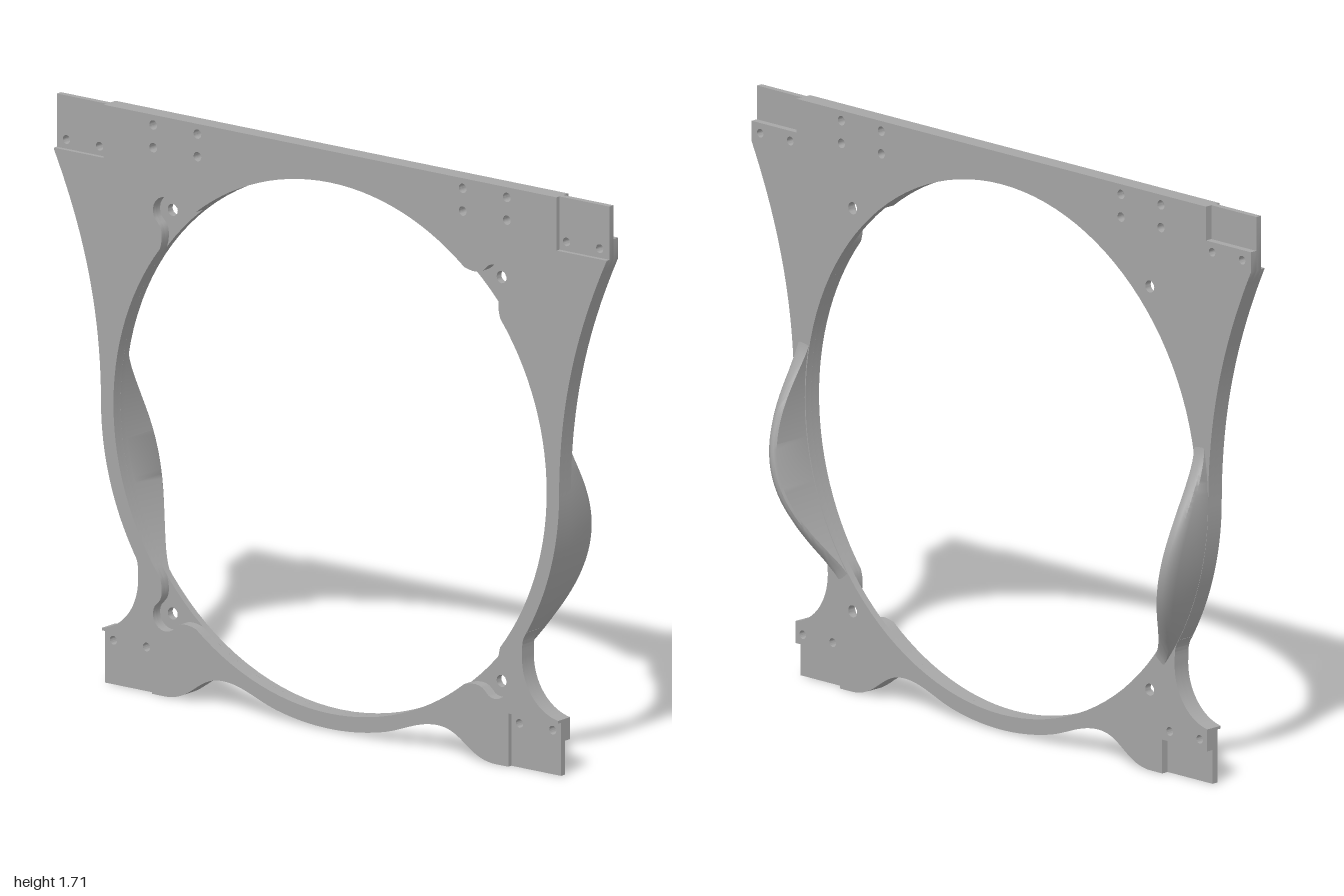
import * as THREE from 'three';
import { toCreasedNormals } from 'three/addons/utils/BufferGeometryUtils.js';

const CY = 0.833, R = 0.784, RO = 0.829, TOP = 1.71;
const V = (x, y) => new THREE.Vector2(x, y);

// Outer outline; cut = height of the rectangles removed at the four corners
function outline(cut) {
  const p = new THREE.Path();
  const a0 = Math.atan2(0.407 - CY, 0.712);
  p.absarc(0, CY, RO, -Math.PI / 2, -Math.PI / 2 + 0.243, false);
  p.bezierCurveTo(0.27, 0.047, 0.32, 0.08, 0.39, 0.08);
  p.bezierCurveTo(0.48, 0.08, 0.5, 0, 0.6, 0);
  if (cut) {
    p.lineTo(0.645, 0);
    p.lineTo(0.645, cut);
    p.lineTo(0.825, cut);
  } else p.lineTo(0.825, 0);
  p.lineTo(0.825, 0.165);
  p.bezierCurveTo(0.74, 0.18, 0.69, 0.26, 0.695, 0.34);
  p.bezierCurveTo(0.695, 0.37, 0.695, 0.385, 0.712, 0.407);
  p.absarc(0, CY, RO, a0, 0, false);
  p.bezierCurveTo(0.83, 1.1, 0.89, 1.32, 1, 1.55);
  p.lineTo(1, TOP - cut);
  if (cut) {
    p.lineTo(0.82, TOP - cut);
    p.lineTo(0.82, TOP);
  }
  const half = p.getPoints(20).filter((q, i, a) => !i || q.distanceTo(a[i - 1]) > 1e-4);
  const left = half.slice(1).reverse().map((q) => V(-q.x, q.y));
  return new THREE.Shape([...half, ...left]);
}

// Large round opening, optionally widened by four keyhole pockets for the screws
function opening(pockets) {
  const pts = [];
  const polar = (r, a) => pts.push(V(r * Math.cos(a), CY + r * Math.sin(a)));
  const flare = 0.118;
  for (let k = 0; k < 4; k++) {
    const mid = Math.PI / 4 + k * Math.PI / 2;
    const put = (u, v) => pts.push(V(
      u * Math.cos(mid) - v * Math.sin(mid), CY + u * Math.sin(mid) + v * Math.cos(mid)));
    if (pockets) {
      const neck = new THREE.QuadraticBezierCurve(
        V(R * Math.cos(flare), R * Math.sin(flare)), V(0.803, 0.045), V(0.835, 0.044)).getPoints(6);
      neck.forEach((q) => put(q.x, -q.y));
      for (let i = 1; i < 14; i++) {
        const a = -Math.PI / 2 + (i / 14) * Math.PI;
        put(0.843 + 0.045 * Math.cos(a), 0.045 * Math.sin(a));
      }
      neck.reverse().forEach((q) => put(q.x, q.y));
    }
    const from = mid + (pockets ? flare : 0), to = mid + Math.PI / 2 - (pockets ? flare : 0);
    for (let i = pockets ? 1 : 0; i < 28; i++) polar(R, from + (i / 28) * (to - from));
  }
  return new THREE.Path(pts);
}

const rowHoles = [[0.64, 1.68], [0.48, 1.68], [0.64, 1.613], [0.48, 1.613]];
const cornerHoles = [[0.965, 1.58], [0.845, 1.58], [0.795, 0.13], [0.675, 0.13]];
const screwHoles = [[0.595, 1.43], [0.595, 0.238]];

function plateLayer(z0, z1, cut, pockets, groups) {
  const shape = outline(cut);
  shape.holes.push(opening(pockets));
  for (const [list, r] of groups)
    for (const [x, y] of list)
      for (const s of [1, -1])
        shape.holes.push(new THREE.Path().absarc(s * x, y, r, 0, Math.PI * 2, true));
  const g = new THREE.ExtrudeGeometry(shape, { depth: z1 - z0, bevelEnabled: false, curveSegments: 8 });
  g.translate(0, 0, z0);
  return toCreasedNormals(g, 0.5);
}

// Curved fin: ring segment whose rear edge follows a bell profile
function finGeometry(side) {
  const N = 48, mid = -0.235, span = 0.435, pos = [], idx = [];
  for (let i = 0; i <= N; i++) {
    const u = (i / N) * 2 - 1;
    const a = mid + u * span;
    const h = 0.139 * Math.pow(1 - u * u, 1.5);
    const section = [[0.787, 0], [0.787, 0.93], [0.792, 0.985], [0.8, 1],
      [0.813, 0.97], [0.823, 0.88], [0.828, 0.72], [0.828, 0]];
    for (const [r, t] of section)
      pos.push(side * r * Math.cos(a), CY + r * Math.sin(a), 0.045 - (h + 0.003) * t);
  }
  const M = 8;
  for (let i = 0; i < N; i++)
    for (let j = 0; j < M; j++) {
      const a = i * M + j, b = i * M + (j + 1) % M, c = a + M, d = b + M;
      if (side > 0) idx.push(a, c, b, b, c, d);
      else idx.push(a, b, c, b, d, c);
    }
  const g = new THREE.BufferGeometry();
  g.setAttribute('position', new THREE.Float32BufferAttribute(pos, 3));
  g.setIndex(idx);
  return toCreasedNormals(g, 0.6);
}

export function createModel() {
  const model = new THREE.Group();
  model.name = 'fanMountFrame';
  const grey = new THREE.MeshStandardMaterial({ color: 0xa6a6a6, side: THREE.DoubleSide });
  grey.name = 'grey';
  const add = (name, geo) => {
    const m = new THREE.Mesh(geo, grey);
    m.name = name;
    model.add(m);
  };
  // Plate in three layers: rear corner pockets, full core, front corner recesses
  add('rearPlate', plateLayer(0.042, 0.064, 0.1, false,
    [[rowHoles, 0.014], [cornerHoles, 0.013], [screwHoles, 0.018]]));
  add('corePlate', plateLayer(0.064, 0.083, 0, true,
    [[rowHoles, 0.014], [cornerHoles, 0.013]]));
  add('frontPlate', plateLayer(0.083, 0.097, 0.157, true, [[rowHoles, 0.014]]));
  // Rear side fins
  add('leftFin', finGeometry(1));
  add('rightFin', finGeometry(-1));
  return model;
}
